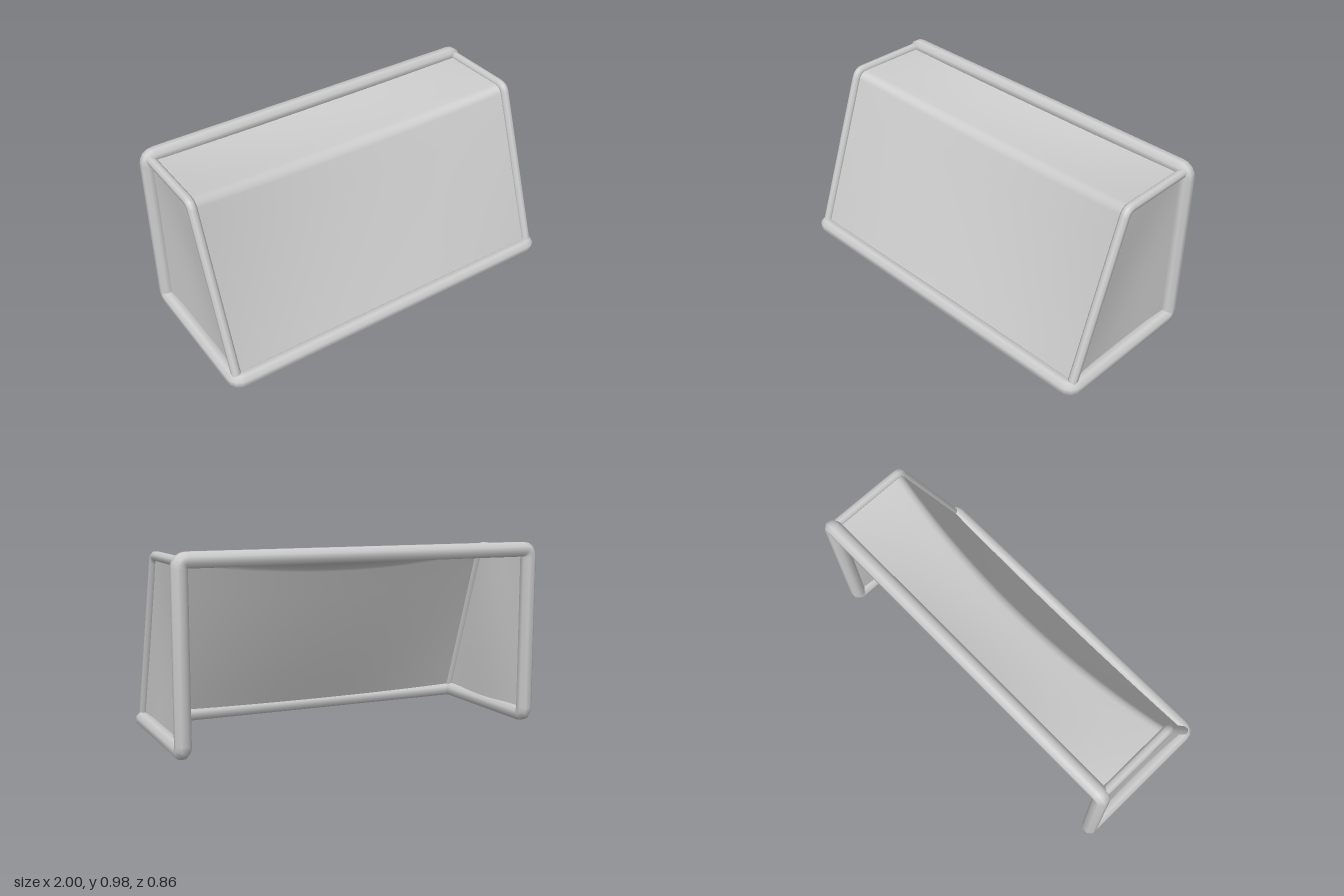
import * as THREE from 'three';

const V = (x, y, z) => new THREE.Vector3(x, y, z);
const material = new THREE.MeshStandardMaterial({ color: 0xcccccc });
const netMaterial = new THREE.MeshStandardMaterial({ color: 0xcccccc, side: THREE.DoubleSide });

function buildGeometry(positions, index, normals) {
  const geo = new THREE.BufferGeometry();
  geo.setAttribute('position', new THREE.Float32BufferAttribute(positions, 3));
  geo.setIndex(index);
  if (normals) geo.setAttribute('normal', new THREE.Float32BufferAttribute(normals, 3));
  else geo.computeVertexNormals();
  return geo;
}

// Joins neighbouring rows of points into quads
function gridIndex(rows, cols) {
  const index = [];
  for (let i = 0; i < rows - 1; i++) {
    for (let j = 0; j < cols - 1; j++) {
      const a = i * cols + j, b = a + 1, c = a + cols, d = c + 1;
      index.push(a, b, c, b, d, c);
    }
  }
  return index;
}

// Replaces each inner corner of a path with a short curve
function roundCorners(corners, bend, steps = 4) {
  const points = [corners[0]];
  for (let i = 1; i < corners.length - 1; i++) {
    const p = corners[i];
    const toward = (q) => p.clone().add(q.clone().sub(p).setLength(bend));
    const curve = new THREE.QuadraticBezierCurve3(toward(corners[i - 1]), p, toward(corners[i + 1]));
    points.push(...curve.getPoints(steps));
  }
  points.push(corners[corners.length - 1]);
  return points;
}

// Eight-sided pipe swept along a path, with a flat side facing the start normal
function pipe(name, corners, apothem, bend, startNormal) {
  const sides = 8, radius = apothem / Math.cos(Math.PI / sides);
  const path = roundCorners(corners, bend);
  const positions = [], normals = [];
  const normal = startNormal.clone();
  let previous = null;
  path.forEach((p, i) => {
    const before = path[Math.max(i - 1, 0)], after = path[Math.min(i + 1, path.length - 1)];
    const tangent = V(0, 0, 0);
    if (i > 0) tangent.add(p.clone().sub(before).normalize());
    if (i < path.length - 1) tangent.add(after.clone().sub(p).normalize());
    tangent.normalize();
    if (previous) normal.applyQuaternion(new THREE.Quaternion().setFromUnitVectors(previous, tangent));
    previous = tangent;
    const side = tangent.clone().cross(normal);
    for (let k = 0; k <= sides; k++) {
      const a = ((k + 0.5) / sides) * Math.PI * 2;
      const n = normal.clone().multiplyScalar(Math.cos(a)).addScaledVector(side, Math.sin(a));
      positions.push(...p.clone().addScaledVector(n, radius).toArray());
      normals.push(...n.toArray());
    }
  });
  const geo = buildGeometry(positions, gridIndex(path.length, sides + 1), normals);
  const mesh = new THREE.Mesh(geo, material);
  mesh.name = name;
  return mesh;
}

// Points strictly between a and b, hanging by the given offset at the middle
function slack(a, b, offset, steps = 6) {
  const points = [];
  for (let i = 1; i < steps; i++) {
    const t = i / steps;
    points.push(a.clone().lerp(b, t).addScaledVector(offset, 4 * t * (1 - t)));
  }
  return points;
}

// Net over the roof and sloping panel, sagging towards the middle
function saggingNet() {
  const columns = 24, positions = [];
  let rows = 0;
  for (let i = 0; i <= columns; i++) {
    const x = -0.955 + (1.91 * i) / columns;
    const sag = 1 - (x / 0.955) ** 2;
    const mouth = V(x, 0.932, -0.38);
    const ridge = V(x, 0.938 - 0.077 * sag, 0.062 - 0.075 * sag);
    const foot = V(x, 0.035, 0.383 - 0.012 * sag);
    const bent = roundCorners([mouth, ridge, foot], 0.04, 6);
    const bend = bent.slice(1, -1);
    const section = [
      mouth, ...slack(mouth, bend[0], V(0, -0.01 * sag, 0)),
      ...bend, ...slack(bend[bend.length - 1], foot, V(0, 0, -0.008 * sag)), foot,
    ];
    rows = section.length;
    section.forEach((p) => positions.push(p.x, p.y, p.z));
  }
  const index = gridIndex(columns + 1, rows).reverse();
  const mesh = new THREE.Mesh(buildGeometry(positions, index), netMaterial);
  mesh.name = 'mainNet';
  return mesh;
}

// Net closing one end of the goal, hanging slightly inwards
function sideNet(name, s) {
  const n = 12, positions = [];
  for (let i = 0; i <= n; i++) {
    const v = i / n;
    for (let j = 0; j <= n; j++) {
      const u = j / n;
      const front = 0.383 - 0.321 * v;
      const inward = Math.sin(Math.PI * u) * (0.015 * Math.sin(Math.PI * v) + 0.015 * (1 - v));
      positions.push(s * (0.955 - inward), 0.035 + 0.899 * v, -0.385 + u * (front + 0.385));
    }
  }
  const index = gridIndex(n + 1, n + 1);
  if (s > 0) index.reverse();
  const mesh = new THREE.Mesh(buildGeometry(positions, index), netMaterial);
  mesh.name = name;
  return mesh;
}

export function createModel() {
  const goal = new THREE.Group();
  goal.name = 'goal';

  // Crossbar, posts, ground rails and rear bar form one closed loop
  const r = 0.0385, x = 1 - r, top = 0.98 - r, mouthZ = -0.43 + r, rearZ = 0.43 - r;
  goal.add(pipe('mainFrame', [
    V(0, top, mouthZ), V(x, top, mouthZ), V(x, r, mouthZ), V(x, r, rearZ),
    V(-x, r, rearZ), V(-x, r, mouthZ), V(-x, top, mouthZ), V(0, top, mouthZ),
  ], r, 0.04, V(0, 1, 0)));

  // Thinner bent stays and the end nets
  for (const [label, s] of [['left', 1], ['right', -1]]) {
    goal.add(pipe(label + 'Stay', [
      V(s * 0.955, 0.934, mouthZ), V(s * 0.955, 0.934, 0.062), V(s * 0.955, 0.035, 0.383),
    ], 0.023, 0.035, V(0, 1, 0)));
    goal.add(sideNet(label + 'Net', s));
  }

  goal.add(saggingNet());
  return goal;
}
